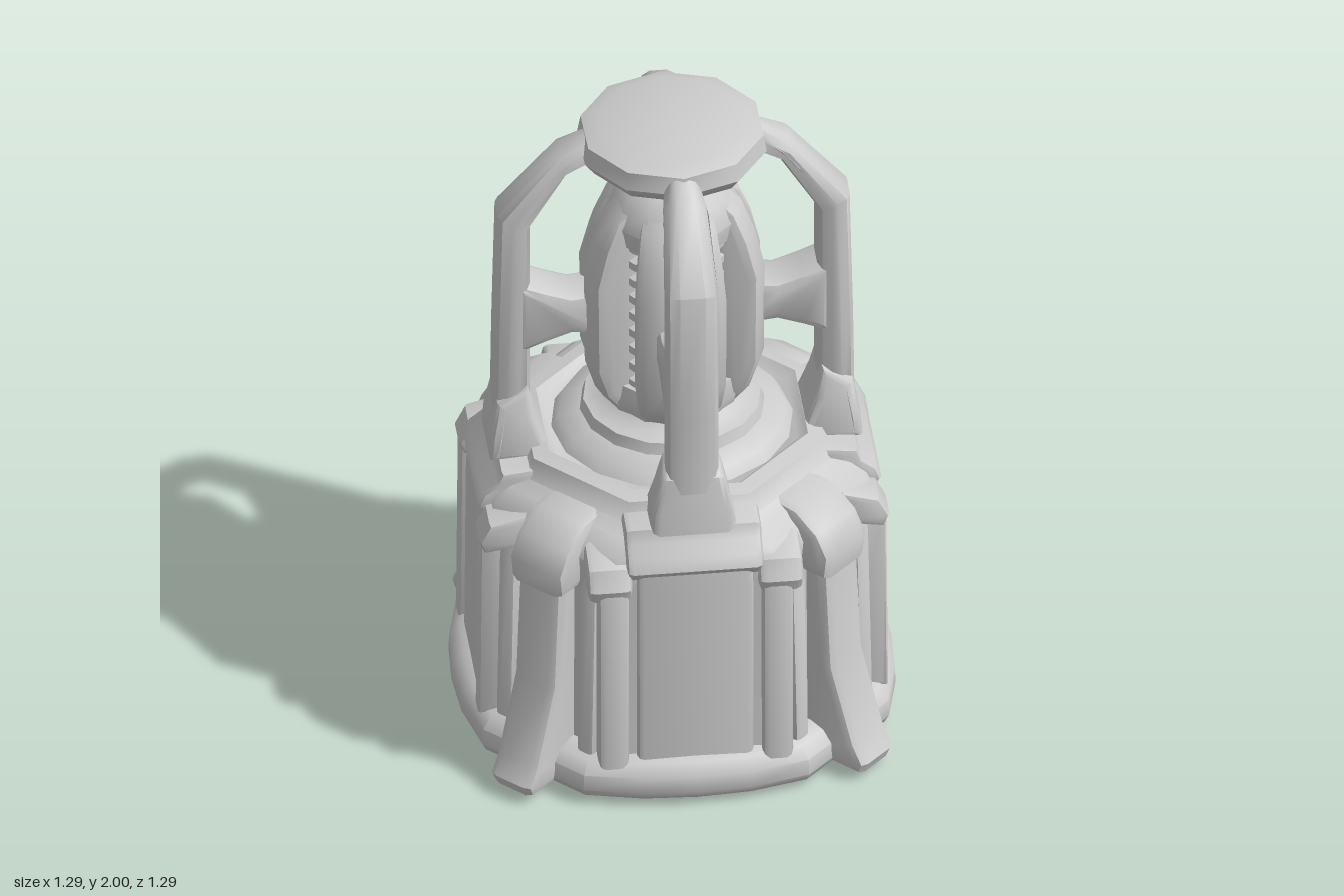
import * as THREE from 'three';
import { toCreasedNormals } from 'three/addons/utils/BufferGeometryUtils.js';

const material = new THREE.MeshStandardMaterial({ color: 0xcccccc, side: THREE.DoubleSide });
const QUARTER = Math.PI / 2;

function add(parent, name, geometry, crease = 0.75) {
  const mesh = new THREE.Mesh(toCreasedNormals(geometry, crease), material);
  mesh.name = name;
  parent.add(mesh);
  return mesh;
}

// Stack scaled copies of an outline; sections are [scale, y]
function loft(outline, sections) {
  const pos = [], index = [], n = outline.length;
  for (const [s, y] of sections) for (const [x, z] of outline) pos.push(x * s, y, z * s);
  for (let i = 0; i < sections.length - 1; i++) {
    for (let j = 0; j < n; j++) {
      const a = i * n + j, b = i * n + (j + 1) % n;
      index.push(a, a + n, b, b, a + n, b + n);
    }
  }
  const g = new THREE.BufferGeometry();
  g.setAttribute('position', new THREE.Float32BufferAttribute(pos, 3));
  g.setIndex(index);
  return g;
}

// Profile in (radius, height), given a thickness and softened edges
function slab(points, width, bevel = 0.02) {
  const shape = new THREE.Shape(points.map(p => new THREE.Vector2(...p)));
  const g = new THREE.ExtrudeGeometry(shape, {
    depth: width - 2 * bevel, bevelEnabled: true, bevelSize: bevel,
    bevelThickness: bevel, bevelOffset: -bevel, bevelSegments: 2,
  });
  return g.translate(0, 0, -width / 2 + bevel);
}

// Multiply a part's width by a factor that depends on height
function widen(g, factor) {
  const p = g.attributes.position;
  for (let i = 0; i < p.count; i++) p.setZ(i, p.getZ(i) * factor(p.getY(i)));
  return g;
}

const ngon = (n, r, turn = 0) => Array.from({ length: n }, (_, i) => {
  const a = turn + i * 2 * Math.PI / n;
  return [r * Math.cos(a), r * Math.sin(a)];
});

export function createModel() {
  const model = new THREE.Group();
  model.name = 'cagedLantern';

  // Base plate with slightly bowed sides
  const quarter = [[0.645, 0], [0.635, 0.16], [0.595, 0.33], [0.33, 0.595], [0.16, 0.635]];
  const outline = [];
  for (let k = 0; k < 4; k++) {
    for (const [x, z] of quarter) {
      const c = Math.round(Math.cos(k * QUARTER)), s = Math.round(Math.sin(k * QUARTER));
      outline.push([x * c - z * s, x * s + z * c]);
    }
  }
  add(model, 'basePlate', loft(outline, [[0, 0], [0.9, 0.005], [0.98, 0.025], [1, 0.05], [0.995, 0.1], [0.95, 0.135], [0.88, 0.15], [0, 0.15]]));

  // Eight-sided body and stepped deck
  const oct = ngon(8, 1, Math.PI / 8);
  add(model, 'body', loft(oct, [[0.61, 0.12], [0.605, 0.74], [0.61, 0.79], [0.59, 0.83], [0.54, 0.87], [0.49, 0.89],
    [0.46, 0.945], [0.41, 0.955], [0.38, 0.93], [0, 0.93]]));
  add(model, 'lampSeat', loft(ngon(16, 1), [[0.36, 0.92], [0.33, 0.965], [0.27, 0.985], [0.26, 1.02], [0.21, 1.03], [0.18, 1.06], [0, 1.06]]));

  // Central core with stacked rings
  const core = [[0.13, 1.04]];
  for (let i = 0; i < 9; i++) {
    const y = 1.12 + i * 0.06;
    core.push([0.14, y], [0.18, y + 0.015], [0.18, y + 0.04], [0.14, y + 0.055]);
  }
  core.push([0.16, 1.68], [0.13, 1.78], [0.08, 1.82], [0.08, 1.9]);
  add(model, 'core', new THREE.LatheGeometry(core.map(p => new THREE.Vector2(...p)), 16));
  add(model, 'coreCap', loft(ngon(12, 1), [[0.19, 1.63], [0.2, 1.69], [0.17, 1.76], [0.125, 1.8], [0, 1.81]]));
  add(model, 'coreFoot', loft(ngon(12, 1), [[0.19, 1.03], [0.21, 1.08], [0.2, 1.14], [0, 1.14]]));

  // Cage cap
  add(model, 'cageCap', loft(ngon(10, 1, 0.3), [[0, 1.85], [0.15, 1.85], [0.25, 1.88], [0.28, 1.92], [0.27, 1.975], [0.22, 1.995], [0, 2]]));

  for (let k = 0; k < 4; k++) {
    const side = new THREE.Group();
    side.name = 'cageSide';
    side.rotation.y = k * QUARTER;
    model.add(side);

    // Cage bar, narrowing where it tucks under the cap
    const bar = slab([[0.42, 0.95], [0.53, 0.95], [0.525, 1.3], [0.515, 1.72], [0.34, 1.93], [0.24, 1.98], [0.22, 1.9],
      [0.31, 1.86], [0.42, 1.68]], 0.155, 0.04);
    add(side, 'cageBar', widen(bar, y => 1 - Math.max(0, y - 1.86) * 4.5));

    // Flared shoe on a deck bracket
    const shoe = slab([[0.36, 0.9], [0.545, 0.9], [0.54, 0.97], [0.52, 1.08], [0.43, 1.13], [0.41, 1.04]], 0.25, 0.025);
    add(side, 'barShoe', widen(shoe, y => 1 - Math.max(0, y - 0.94) * 1.8));
    add(side, 'shoeBracket', slab([[0.38, 0.8], [0.57, 0.77], [0.59, 0.8], [0.575, 0.84], [0.535, 0.87], [0.52, 0.91],
      [0.38, 0.925]], 0.4));
    add(side, 'cageArm', slab([[0.2, 1.29], [0.3, 1.3], [0.37, 1.275], [0.46, 1.24], [0.46, 1.49], [0.37, 1.455],
      [0.3, 1.43], [0.2, 1.44]], 0.15, 0.03));

    // Raised wall panel between capped columns
    add(side, 'wallPanel', slab([[0.5, 0.12], [0.59, 0.12], [0.585, 0.72], [0.575, 0.8], [0.5, 0.82]], 0.34));
    for (const s of [-1, 1]) {
      const column = add(side, 'wallColumn', slab([[0.46, 0.12], [0.6, 0.12], [0.595, 0.72], [0.57, 0.79], [0.46, 0.82]], 0.09));
      column.position.z = s * 0.24;
      const cap = add(side, 'columnCap', slab([[0.46, 0.73], [0.585, 0.71], [0.6, 0.75], [0.57, 0.81], [0.46, 0.84]], 0.13));
      cap.position.z = s * 0.25;

      // Curved ribs, paired so the core shows at the corners
      const rib = add(side, 'coreRib', slab([[0.1, 1.02], [0.18, 1.03], [0.235, 1.1], [0.267, 1.2], [0.27, 1.5],
        [0.24, 1.62], [0.2, 1.72], [0.12, 1.79]], 0.115, 0.03));
      rib.rotation.y = s * 0.335;
    }

    // Flared leg on each corner
    const corner = new THREE.Group();
    corner.name = 'cornerLeg';
    corner.rotation.y = Math.PI / 4 + k * QUARTER;
    model.add(corner);
    add(corner, 'leg', slab([[0.5, 0.025], [0.75, 0.025], [0.765, 0.06], [0.73, 0.12], [0.65, 0.36], [0.63, 0.72], [0.61, 0.81],
      [0.53, 0.88], [0.42, 0.885], [0.42, 0.8], [0.5, 0.74]], 0.16, 0.03));
    add(corner, 'legClamp', slab([[0.42, 0.78], [0.52, 0.68], [0.64, 0.68], [0.65, 0.76], [0.61, 0.83], [0.53, 0.885],
      [0.42, 0.895]], 0.2, 0.03));
    for (const s of [-1, 1]) {
      const rib = add(corner, 'cornerRib', slab([[0.5, 0.12], [0.605, 0.12], [0.59, 0.7], [0.55, 0.79], [0.5, 0.8]], 0.06, 0.015));
      rib.position.z = s * 0.15;
    }
  }
  return model;
}
